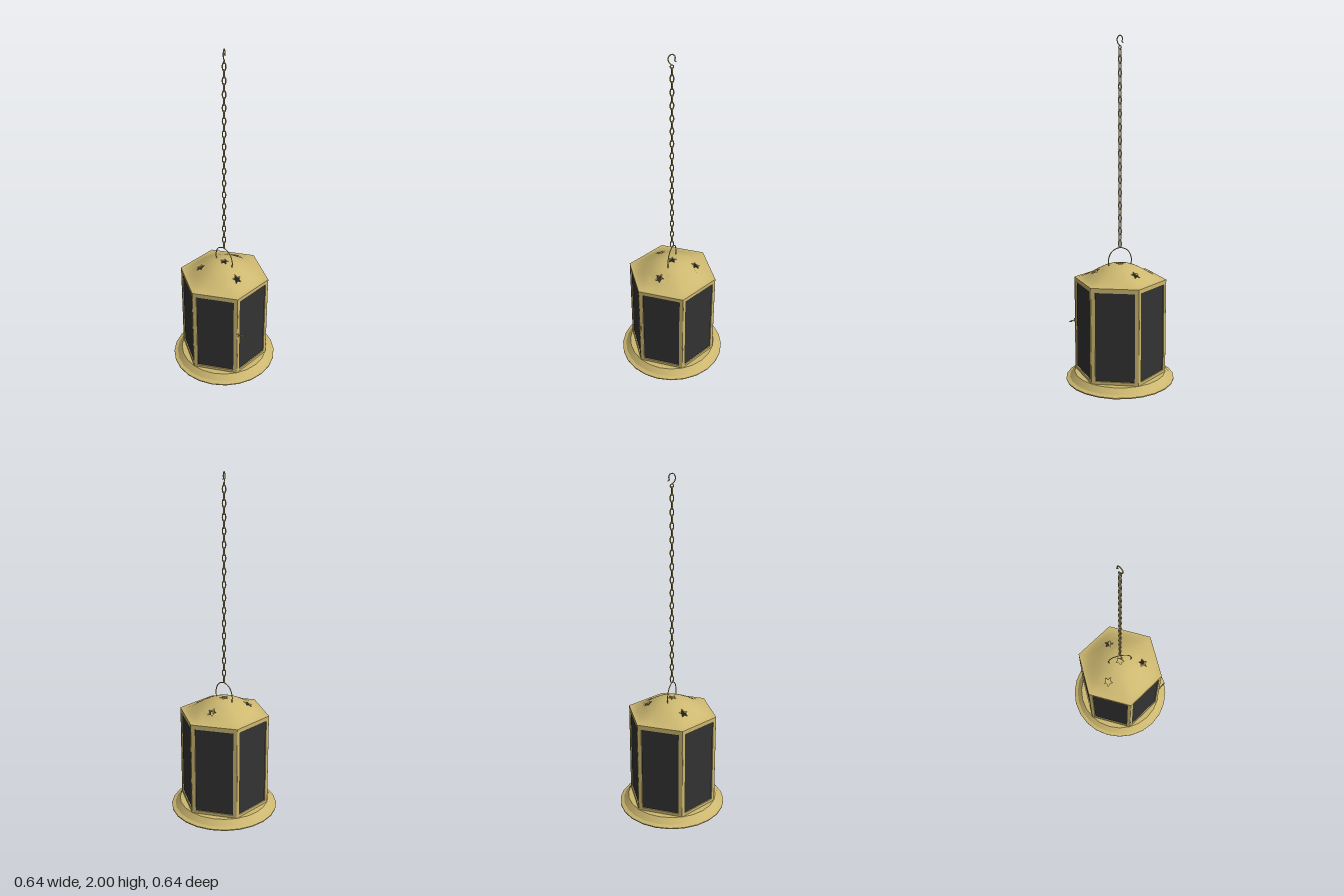
import * as THREE from 'three';
import { mergeVertices } from 'three/addons/utils/BufferGeometryUtils.js';

const R = 0.272;                          // hexagon corner radius
const APOTHEM = R * Math.cos(Math.PI / 6);
const EAVE = 0.61;
const V3 = (x, y, z) => new THREE.Vector3(x, y, z);

export function createModel() {
  const brass = new THREE.MeshStandardMaterial({ color: 0xcdb870, side: THREE.DoubleSide });
  brass.name = 'brass';
  const glass = new THREE.MeshStandardMaterial({ color: 0x333333, side: THREE.DoubleSide });
  glass.name = 'dark glass';

  const model = new THREE.Group();
  model.name = 'hangingLantern';
  const add = (name, geometry, material = brass, parent = model) => {
    const mesh = new THREE.Mesh(geometry, material);
    mesh.name = name;
    parent.add(mesh);
    return mesh;
  };
  const wire = (points, radius, closed = false, segments = 32) =>
    new THREE.TubeGeometry(new THREE.CatmullRomCurve3(points, closed), segments, radius, 6, closed);

  // Base: thin inverted pan with a flared skirt; doubled points keep creases
  const basePoints = [
    [0.008, 0.038], [0.266, 0.038], [0.266, 0.038], [0.298, 0.007], [0.298, 0.007],
    [0.322, 0], [0.322, 0], [0.322, 0.006], [0.322, 0.006], [0.3, 0.014], [0.3, 0.014],
    [0.271, 0.045], [0.271, 0.045], [0.008, 0.045],
  ].map(([r, y]) => new THREE.Vector2(r, y));
  add('basePan', new THREE.LatheGeometry(basePoints, 24));
  const drain = add('drainRing', new THREE.TorusGeometry(0.018, 0.004, 6, 20));
  drain.rotation.x = Math.PI / 2;
  drain.position.y = 0.038;

  // Six framed glass panels with slim corner posts
  const rect = (shape, x, y0, y1) =>
    shape.moveTo(-x, y0).lineTo(x, y0).lineTo(x, y1).lineTo(-x, y1).closePath();
  const frameShape = rect(new THREE.Shape(), 0.134, 0.045, 0.605);
  frameShape.holes.push(rect(new THREE.Path(), 0.113, 0.062, 0.584));
  const frameGeometry = new THREE.ExtrudeGeometry(frameShape, { depth: 0.012, bevelEnabled: false });
  const glassGeometry = new THREE.BoxGeometry(0.232, 0.53, 0.003);
  const postGeometry = new THREE.CylinderGeometry(0.005, 0.005, 0.56, 8);
  for (let i = 0; i < 6; i++) {
    const side = new THREE.Group();
    side.name = 'side' + (i + 1);
    side.rotation.y = i * Math.PI / 3;
    model.add(side);
    add('panelFrame', frameGeometry, brass, side).position.z = APOTHEM - 0.012;
    add('glassPane', glassGeometry, glass, side).position.set(0, 0.323, APOTHEM - 0.008);
    add('cornerPost', postGeometry, brass, side).position.set(R / 2 - 0.003, 0.325, APOTHEM - 0.005);
  }

  // Small door latch at the front left corner
  const latch = new THREE.Group();
  latch.name = 'doorLatch';
  latch.position.set(0.137, 0.345, 0.234);
  model.add(latch);
  add('latchPin', new THREE.CylinderGeometry(0.003, 0.003, 0.05, 8), brass, latch)
    .position.set(0.024, 0, 0);
  latch.children[0].rotation.z = Math.PI / 2;
  add('latchPlate', new THREE.BoxGeometry(0.012, 0.02, 0.008), brass, latch);
  add('latchKnob', new THREE.SphereGeometry(0.006, 8, 6), brass, latch).position.x = 0.03;

  // Roof: round at the crown, hexagonal at the eave, with star cutouts
  const height = s => EAVE + 0.09 * Math.cos(Math.PI / 2 * Math.min(1, s) ** 1.15) ** 2;
  const roofPoint = (ring, sector) => {
    const s = ring / 16, a = sector * Math.PI / 24;
    const local = ((sector % 8) + 8) % 8 * Math.PI / 24;
    const hex = Math.cos(Math.PI / 6) / Math.cos(local - Math.PI / 6);
    const r = R * s * (1 + (hex - 1) * s ** 3);
    return V3(r * Math.cos(a), height(s), r * Math.sin(a));
  };
  const star = (cx, cz, radius, turn) => Array.from({ length: 10 }, (_, i) => {
    const a = turn + i * Math.PI / 5, r = i % 2 ? radius * 0.47 : radius;
    const x = cx + r * Math.cos(a), z = cz + r * Math.sin(a);
    return V3(x, height(Math.hypot(x, z) / R), z);
  });
  const roof = [], rims = [];
  const triangle = (a, b, c) => {           // always wound to face upward
    const up = (b.z - a.z) * (c.x - a.x) - (b.x - a.x) * (c.z - a.z);
    (up > 0 ? [a, b, c] : [a, c, b]).forEach(p => roof.push(p));
  };
  const patch = (outline, hole) => {
    const flat = list => list.map(p => new THREE.Vector2(p.x, p.z));
    const all = [...outline, ...hole];
    THREE.ShapeUtils.triangulateShape(flat(outline), [flat(hole)])
      .forEach(f => triangle(all[f[0]], all[f[1]], all[f[2]]));
    hole.forEach((p, i) => {
      const q = hole[(i + 1) % hole.length];
      const p2 = V3(p.x, p.y - 0.01, p.z), q2 = V3(q.x, q.y - 0.01, q.z);
      rims.push(p, p2, q, q, p2, q2);
    });
  };
  const windows = [6, 22, 38];               // sectors at the star centres
  const [inner, outer, half] = [6, 11, 3];
  for (let ring = 2; ring < 16; ring++) {
    for (let sector = 0; sector < 48; sector++) {
      const open = ring >= inner && ring < outer &&
        windows.some(w => sector >= w - half && sector < w + half);
      if (open) continue;
      const a = roofPoint(ring, sector), b = roofPoint(ring + 1, sector);
      const c = roofPoint(ring + 1, sector + 1), d = roofPoint(ring, sector + 1);
      triangle(a, b, c);
      triangle(a, c, d);
    }
  }
  for (const w of windows) {
    const outline = [];
    for (let k = -half; k < half; k++) outline.push(roofPoint(inner, w + k));
    for (let r = inner; r < outer; r++) outline.push(roofPoint(r, w + half));
    for (let k = half; k > -half; k--) outline.push(roofPoint(outer, w + k));
    for (let r = outer; r > inner; r--) outline.push(roofPoint(r, w - half));
    const a = w * Math.PI / 24;
    patch(outline, star(0.143 * Math.cos(a), 0.143 * Math.sin(a), 0.028, a + 0.7));
  }
  patch(Array.from({ length: 48 }, (_, i) => roofPoint(2, i)), star(0, 0, 0.028, -Math.PI / 2));
  const roofGeometry = mergeVertices(new THREE.BufferGeometry().setFromPoints(roof));
  roofGeometry.computeVertexNormals();
  add('roof', roofGeometry);
  const rimGeometry = new THREE.BufferGeometry().setFromPoints(rims);
  rimGeometry.computeVertexNormals();
  add('starRims', rimGeometry);

  // Eave lip: flat-sided hexagonal band
  const lip = new THREE.CylinderGeometry(R, R, 0.012, 6, 1, true).toNonIndexed();
  lip.computeVertexNormals();
  lip.rotateY(Math.PI / 6);
  add('eaveLip', lip).position.y = EAVE - 0.006;

  // Wire carrying handle
  const bail = [[-0.066, 0.68], [-0.071, 0.725], [-0.05, 0.772], [0, 0.794],
    [0.05, 0.772], [0.071, 0.725], [0.066, 0.68]].map(([x, y]) => V3(x, y, 0));
  add('handle', wire(bail, 0.003)).rotation.y = -0.588;

  // Chain of alternating oval links
  const oval = Array.from({ length: 16 }, (_, i) => {
    const a = i * Math.PI / 8;
    return V3(0.0095 * Math.cos(a), 0.0225 * Math.sin(a), 0);
  });
  const linkGeometry = wire(oval, 0.0035, true, 20);
  const chain = new THREE.Group();
  chain.name = 'chain';
  model.add(chain);
  for (let i = 0; i < 30; i++) {
    const link = add('chainLink', linkGeometry, brass, chain);
    link.position.y = 1.905 - i * 0.0375;
    link.rotation.y = (i % 2) * Math.PI / 2;
  }

  // Hook with an eye at the top of the chain
  const eye = add('hookEye', new THREE.TorusGeometry(0.009, 0.003, 6, 16));
  eye.position.y = 1.932;
  eye.rotation.y = Math.PI / 2;
  const crook = [[0, 1.94], [0.014, 1.955], [0.02, 1.975], [0.012, 1.992], [0, 1.997],
    [-0.013, 1.99], [-0.017, 1.975], [-0.014, 1.964], [-0.022, 1.956]].map(([z, y]) => V3(0, y, z));
  add('hook', wire(crook, 0.003));

  return model;
}
